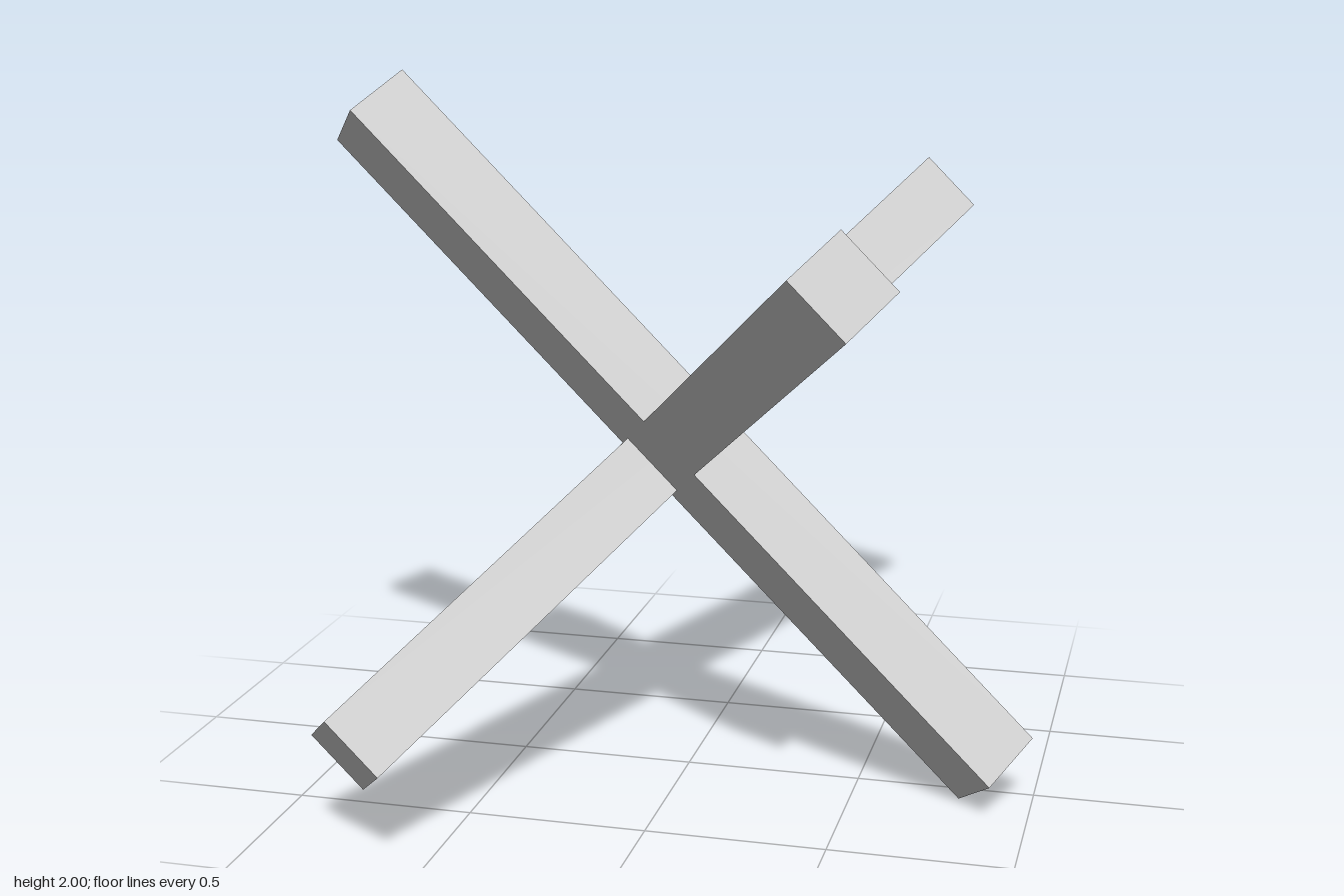
import * as THREE from 'three';

export function createModel() {
  const model = new THREE.Group();
  const material = new THREE.MeshStandardMaterial({ color: 0xcccccc, flatShading: true });
  const length = 2.54, width = 0.2;

  // three mutually perpendicular directions, shared by all bars
  const r = Math.SQRT1_2;
  const frame = new THREE.Matrix4().makeBasis(
    new THREE.Vector3(r, -r, 0),
    new THREE.Vector3(0.5, 0.5, r),
    new THREE.Vector3(-0.5, -0.5, r)
  );

  // square bar lying along one axis of the frame
  function addBar(name, axis, center) {
    const size = [width, width, width];
    size[axis] = length;
    const bar = new THREE.Mesh(new THREE.BoxGeometry(...size), material);
    bar.name = name;
    bar.quaternion.setFromRotationMatrix(frame);
    bar.position.set(...center);
    model.add(bar);
  }

  addBar('crossBar', 0, [0, 1, 0.075]);
  addBar('frontRisingBar', 1, [-0.037, 0.969, 0.028]);
  addBar('backRisingBar', 2, [-0.077, 0.927, -0.034]);

  return model;
}
